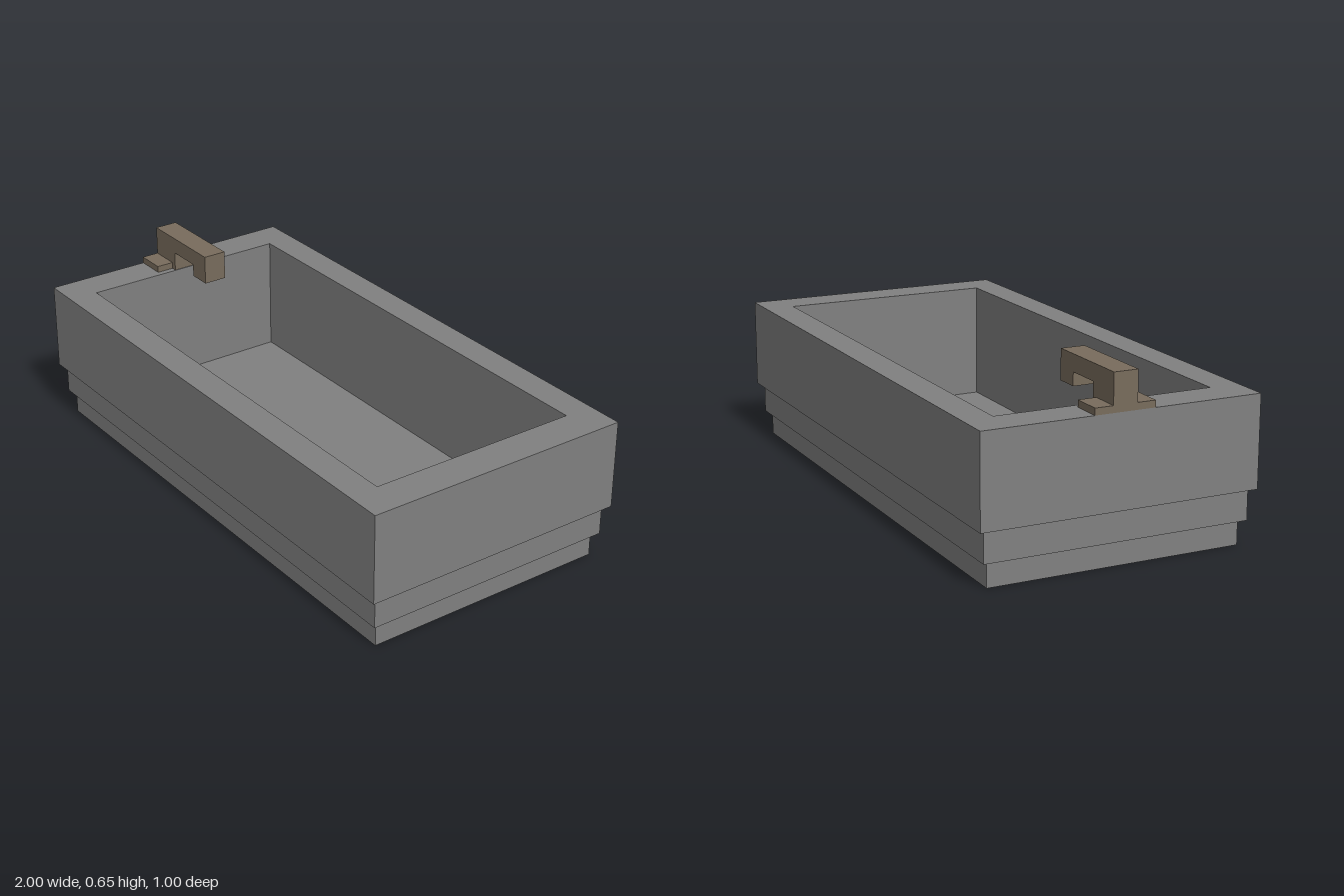
import * as THREE from 'three';

const stone = new THREE.MeshStandardMaterial({ color: 0x808080 });
stone.name = 'grey stone';
const bronze = new THREE.MeshStandardMaterial({ color: 0x786c5c });
bronze.name = 'dull bronze';

// Rectangle outline given as [x0, x1, z0, z1]; shape y becomes -z when laid flat
function trace(path, [x0, x1, z0, z1]) {
  path.moveTo(x0, -z1);
  path.lineTo(x1, -z1);
  path.lineTo(x1, -z0);
  path.lineTo(x0, -z0);
  path.closePath();
  return path;
}

// Horizontal slab from y0 to y1, with an optional rectangular opening
function slab(name, outer, y0, y1, hole) {
  const shape = trace(new THREE.Shape(), outer);
  if (hole) shape.holes.push(trace(new THREE.Path(), hole));
  const geo = new THREE.ExtrudeGeometry(shape, { depth: y1 - y0, bevelEnabled: false });
  geo.rotateX(-Math.PI / 2);
  geo.translate(0, y0, 0);
  const mesh = new THREE.Mesh(geo, stone);
  mesh.name = name;
  return mesh;
}

export function createModel() {
  const model = new THREE.Group();
  model.name = 'bathtub';

  // Stepped tub: solid foot, floor with drain recess, then two hollow tiers
  const foot = [-0.956, 0.956, -0.457, 0.457];
  const basin = [-0.867, 0.867, -0.392, 0.392];
  const drain = [0.52, 0.655, -0.11, 0.022];
  model.add(
    slab('foot', foot, 0, 0.05),
    slab('basinFloor', foot, 0.05, 0.088, drain),
    slab('middleTier', [-0.978, 0.978, -0.478, 0.478], 0.088, 0.198, basin),
    slab('upperTier', [-1, 1, -0.5, 0.5], 0.198, 0.521, basin)
  );

  // Faucet: hooked side profile with a handle plate on each side
  const faucet = new THREE.Group();
  faucet.name = 'faucet';
  const profile = new THREE.Shape([
    [-1, 0.521], [-0.87, 0.521], [-0.87, 0.592], [-0.74, 0.592],
    [-0.74, 0.545], [-0.655, 0.545], [-0.655, 0.652], [-1, 0.652],
  ].map(([x, y]) => new THREE.Vector2(x, y)));
  const spoutGeo = new THREE.ExtrudeGeometry(profile, { depth: 0.087, bevelEnabled: false });
  spoutGeo.translate(0, 0, -0.0435);
  const spout = new THREE.Mesh(spoutGeo, bronze);
  spout.name = 'spout';
  faucet.add(spout);
  for (const side of [-1, 1]) {
    const handle = new THREE.Mesh(new THREE.BoxGeometry(0.11, 0.024, 0.065), bronze);
    handle.position.set(-0.945, 0.533, side * 0.076);
    handle.name = side > 0 ? 'frontHandle' : 'backHandle';
    faucet.add(handle);
  }
  model.add(faucet);
  return model;
}
